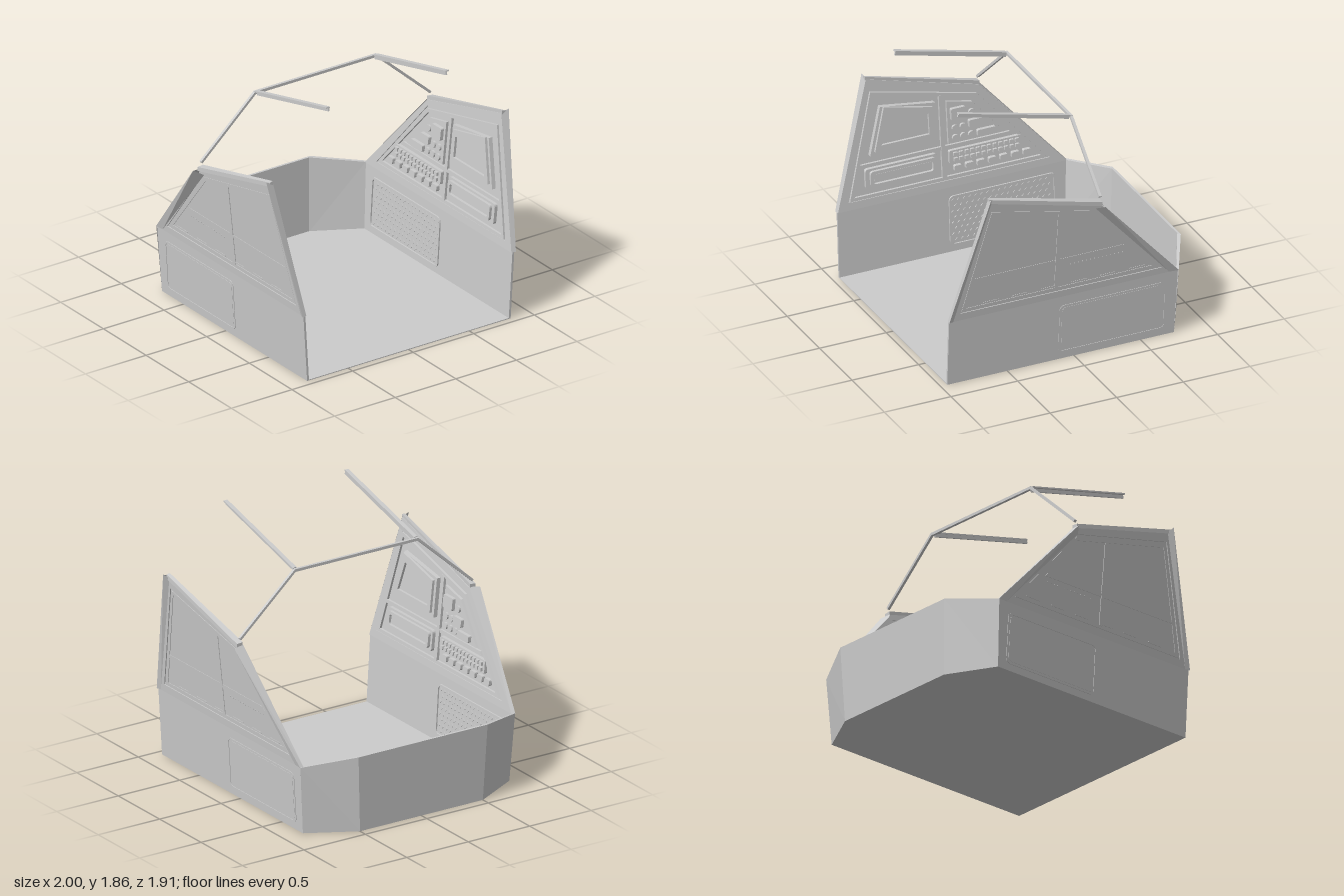
import * as THREE from 'three';

const grey = new THREE.MeshStandardMaterial({ color: 0xcccccc, flatShading: true, side: THREE.DoubleSide });
const V = (x, y, z) => new THREE.Vector3(x, y, z);

// Leaning outer surface of the side wall, kinked at the sill
const SILL = 0.49;
const wallX = y => (y < SILL ? 0.84 + 0.061 * y : 0.87 + 0.105 * (y - SILL));

function add(parent, geometry, name) {
  const mesh = new THREE.Mesh(geometry, grey);
  mesh.name = name;
  parent.add(mesh);
  return mesh;
}

// Outlines are drawn in (z, y); the shape itself uses (-z, y)
const outline = (pts, C = THREE.Shape) => new C(pts.map(([z, y]) => new THREE.Vector2(-z, y)));

function rounded(z0, z1, y0, y1, r, C = THREE.Shape) {
  const pts = [];
  [[z1 - r, y1 - r, 0], [z0 + r, y1 - r, 1], [z0 + r, y0 + r, 2], [z1 - r, y0 + r, 3]].forEach(([z, y, q]) => {
    for (let i = 0; i <= 3; i++) {
      const a = (q + i / 3) * Math.PI / 2;
      pts.push([z + r * Math.cos(a), y + r * Math.sin(a)]);
    }
  });
  return outline(pts, C);
}

function ring(z0, z1, y0, y1, r, w) {
  const s = rounded(z0, z1, y0, y1, r);
  s.holes.push(rounded(z0 + w, z1 - w, y0 + w, y1 - w, r * 0.7, THREE.Path));
  return s;
}

// Extrude shapes along x from offset a to b, then lean them with the wall
function wallGeometry(shapes, a, b) {
  const g = new THREE.ExtrudeGeometry(shapes, { depth: b - a, bevelEnabled: false });
  g.rotateY(Math.PI / 2);
  const p = g.attributes.position;
  for (let i = 0; i < p.count; i++) p.setX(i, p.getX(i) + a + wallX(p.getY(i)));
  g.computeVertexNormals();
  return g;
}

// Four-cornered sheets, corners in order round the edge
function sheets(quads) {
  const pos = [];
  quads.forEach(([a, b, c, d]) => [a, b, c, a, c, d].forEach(v => pos.push(v.x, v.y, v.z)));
  const g = new THREE.BufferGeometry();
  g.setAttribute('position', new THREE.Float32BufferAttribute(pos, 3));
  g.computeVertexNormals();
  return g;
}

// Square bar between two points
function bar(parent, a, b, w, h, name) {
  const m = add(parent, new THREE.BoxGeometry(w, h, a.distanceTo(b)), name);
  m.position.copy(a).add(b).multiplyScalar(0.5);
  m.lookAt(b);
}

function mirrored(geometry) {
  const g = geometry.index ? geometry.toNonIndexed() : geometry.clone();
  const p = g.attributes.position;
  const q = V(), r = V();
  for (let i = 0; i < p.count; i += 3) {
    q.fromBufferAttribute(p, i + 1);
    r.fromBufferAttribute(p, i + 2);
    p.setXYZ(i + 1, r.x, r.y, r.z);
    p.setXYZ(i + 2, q.x, q.y, q.z);
  }
  g.scale(-1, 1, 1);
  g.computeVertexNormals();
  return g;
}

// All geometries of one side wall, as [geometry, name]
function sideParts() {
  const parts = [];
  const put = (name, shapes, a, b) => parts.push([wallGeometry(shapes, a, b), name]);

  // Lower wall with hatch outside and tread plate inside
  put('lowerWall', outline([[0.95, 0], [0.95, SILL], [-0.765, SILL], [-0.75, 0]]), -0.016, 0);
  put('hatchRim', ring(-0.68, 0.12, 0.05, 0.42, 0.035, 0.012), 0, 0.004);
  put('hatchPanel', rounded(-0.66, 0.1, 0.07, 0.4, 0.03), 0, 0.002);
  put('treadPlateRim', ring(-0.68, 0.12, 0.05, 0.42, 0.035, 0.014), -0.026, -0.016);
  const studs = [];
  for (let r = 0; r < 8; r++) for (let c = 0; c < 17; c++) {
    const z = -0.64 + c * 0.044 + (r % 2) * 0.022, y = 0.088 + r * 0.042;
    if (z < 0.09) studs.push(outline([[z + 0.016, y], [z, y + 0.014], [z - 0.016, y], [z, y - 0.014]]));
  }
  put('treadStuds', studs, -0.021, -0.016);

  // Upper wall: frame, pane and glazing bars
  const pane = [[0.87, 0.545], [0.675, 1.33], [-0.13, 1.145], [-0.64, 0.54]];
  const frame = outline([[0.95, SILL], [0.695, 1.41], [-0.14, 1.185], [-0.765, SILL]]);
  frame.holes.push(outline(pane, THREE.Path));
  put('upperFrame', frame, -0.024, 0);
  put('windowPane', outline(pane), -0.016, -0.007);
  const inner = outline([[0.86, 0.552], [0.67, 1.315], [-0.12, 1.13], [-0.62, 0.55]]);
  inner.holes.push(outline([[0.825, 0.575], [0.655, 1.285], [-0.11, 1.105], [-0.57, 0.575]], THREE.Path));
  put('paneTrim', inner, -0.032, -0.003);
  put('verticalBar', outline([[0.165, 0.57], [0.165, 1.18], [0.135, 1.17], [0.135, 0.57]]), -0.035, -0.002);
  put('horizontalBar', outline([[0.8, 0.775], [0.8, 0.8], [-0.35, 0.8], [-0.37, 0.775]]), -0.032, -0.004);
  const dashes = [];
  for (let i = 0; i < 6; i++) dashes.push(rounded(-0.52 + i * 0.22, -0.4 + i * 0.22, 0.582, 0.592, 0.004));
  put('sillSlots', dashes, -0.008, -0.004);
  const rivets = [];
  for (let i = 0; i < 14; i++) rivets.push(rounded(-0.345 + i * 0.03, -0.337 + i * 0.03, 0.735, 0.743, 0.003));
  put('rivets', rivets, -0.008, -0.004);

  // Framed displays on the inside, front half
  put('upperDisplay', outline([[0.7, 0.86], [0.61, 1.2], [0.2, 1.14], [0.2, 0.86]]), -0.046, -0.016);
  const bezel = outline([[0.67, 0.89], [0.59, 1.2], [0.225, 1.12], [0.225, 0.89]]);
  bezel.holes.push(outline([[0.62, 0.93], [0.56, 1.14], [0.26, 1.08], [0.26, 0.93]], THREE.Path));
  put('upperDisplayBezel', bezel, -0.064, -0.046);
  put('lowerDisplay', rounded(0.2, 0.74, 0.615, 0.765, 0.02), -0.04, -0.016);
  put('lowerDisplayBezel', ring(0.22, 0.71, 0.635, 0.75, 0.02, 0.022), -0.06, -0.04);
  put('lowerDisplayScreen', rounded(0.25, 0.68, 0.665, 0.72, 0.01), -0.048, -0.04);

  // Instruments, switches and keys on the inside, rear half
  put('instrumentBoard', outline([[0.11, 0.81], [0.11, 1.12], [-0.08, 1.08], [-0.31, 0.81]]), -0.035, -0.016);
  put('instrumentBlocks', [rounded(-0.02, 0.09, 0.98, 1.07, 0.01), rounded(-0.14, -0.04, 0.9, 0.96, 0.01),
    rounded(-0.24, -0.1, 0.825, 0.875, 0.01)], -0.06, -0.035);
  put('dials', [[0.06, 0.92], [0, 0.92], [0.06, 0.85], [0, 0.85], [-0.06, 0.85], [-0.07, 1.01]]
    .map(([z, y]) => rounded(z - 0.024, z + 0.024, y - 0.024, y + 0.024, 0.023)), -0.05, -0.035);
  const keys = [];
  for (let r = 0; r < 2; r++) for (let c = 0; c < 12; c++) {
    const z = -0.41 + c * 0.042, y = 0.68 + r * 0.04;
    keys.push(rounded(z, z + 0.03, y, y + 0.028, 0.004));
  }
  put('keyBoard', rounded(-0.43, 0.11, 0.665, 0.76, 0.01), -0.04, -0.016);
  put('keys', keys, -0.056, -0.04);
  const switches = [];
  for (let i = 0; i < 7; i++) switches.push(rounded(-0.5 + i * 0.086, -0.44 + i * 0.086, 0.6, 0.645, 0.01));
  put('switches', switches, -0.042, -0.016);

  // Flared edges and the sloping top rim
  const edge = (z, y, off = 0) => V(wallX(y) + off, y, z);
  const f0 = edge(0.92, SILL), f1 = edge(0.675, 1.405), F0 = V(0.88, SILL, 0.955), F1 = V(1, 1.43, 0.7);
  const r0 = edge(-0.7, SILL), r1 = edge(-0.115, 1.15), R0 = V(0.875, SILL, -0.77), R1 = V(1, 1.18, -0.16);
  const fi = edge(0.695, 1.415, -0.024), f0i = edge(0.95, SILL, -0.024);
  const ri = edge(-0.145, 1.19, -0.024), r0i = edge(-0.765, SILL, -0.024);
  parts.push([sheets([[f0, F0, F1, f1], [f0i, fi, F1, F0]]), 'frontFlange']);
  parts.push([sheets([[r0, r1, R1, R0], [r0i, R0, R1, ri]]), 'rearFlange']);
  const t = V(0.972, 1.425, 0.7), u = V(0.97, 1.205, -0.15);
  const ti = V(0.945, 1.43, 0.7), ui = V(0.925, 1.21, -0.15);
  const down = v => v.clone().setY(v.y - 0.03);
  parts.push([sheets([[t, u, ui, ti], [t, down(t), down(u), u], [ti, ui, down(ui), down(ti)],
    [t, ti, down(ti), down(t)], [u, down(u), down(ui), ui]]), 'topRim']);
  return parts;
}

export function createModel() {
  const model = new THREE.Group();
  model.name = 'cockpit';

  // Side walls
  const left = new THREE.Group(), right = new THREE.Group();
  left.name = 'leftSide';
  right.name = 'rightSide';
  model.add(left, right);
  sideParts().forEach(([g, name]) => {
    add(left, g, name);
    add(right, mirrored(g), name);
  });

  // Floor
  const floor = new THREE.ExtrudeGeometry(new THREE.Shape([[-0.84, -0.95], [0.84, -0.95], [0.84, 0.75], [0.5, 0.935],
    [-0.5, 0.935], [-0.84, 0.75]].map(p => new THREE.Vector2(...p))), { depth: 0.006, bevelEnabled: false });
  add(model, floor.rotateX(-Math.PI / 2), 'floor');

  // Three-sided back wall with a narrow top rim
  const run = (a, b, y0, y1, za, zb) => [[-a, y0, za], [-b, y1, zb], [b, y1, zb], [a, y0, za]].map(p => V(...p));
  const low = run(0.84, 0.5, 0, 0, -0.75, -0.935), top = run(0.873, 0.525, SILL, 0.55, -0.77, -0.955);
  const lowIn = run(0.825, 0.495, 0, 0, -0.742, -0.922), topIn = run(0.85, 0.505, SILL, 0.55, -0.762, -0.938);
  const back = [];
  for (let i = 0; i < 3; i++) {
    back.push([low[i], top[i], top[i + 1], low[i + 1]], [lowIn[i], lowIn[i + 1], topIn[i + 1], topIn[i]],
      [top[i], topIn[i], topIn[i + 1], top[i + 1]]);
  }
  add(model, sheets(back), 'backWall');

  // Overhead frame: cross bar, diagonal struts and forward rails
  bar(model, V(-0.505, 1.635, -0.145), V(0.505, 1.635, -0.145), 0.02, 0.02, 'crossBar');
  [1, -1].forEach(s => {
    bar(model, V(s * 0.5, 1.635, -0.145), V(s * 0.945, 1.235, -0.145), 0.02, 0.018, 'strut');
    bar(model, V(s * 0.492, 1.645, -0.135), V(s * 0.492, 1.854, 0.7), 0.03, 0.01, 'railTop');
    bar(model, V(s * 0.485, 1.627, -0.135), V(s * 0.485, 1.838, 0.7), 0.012, 0.024, 'railWeb');
  });
  return model;
}
